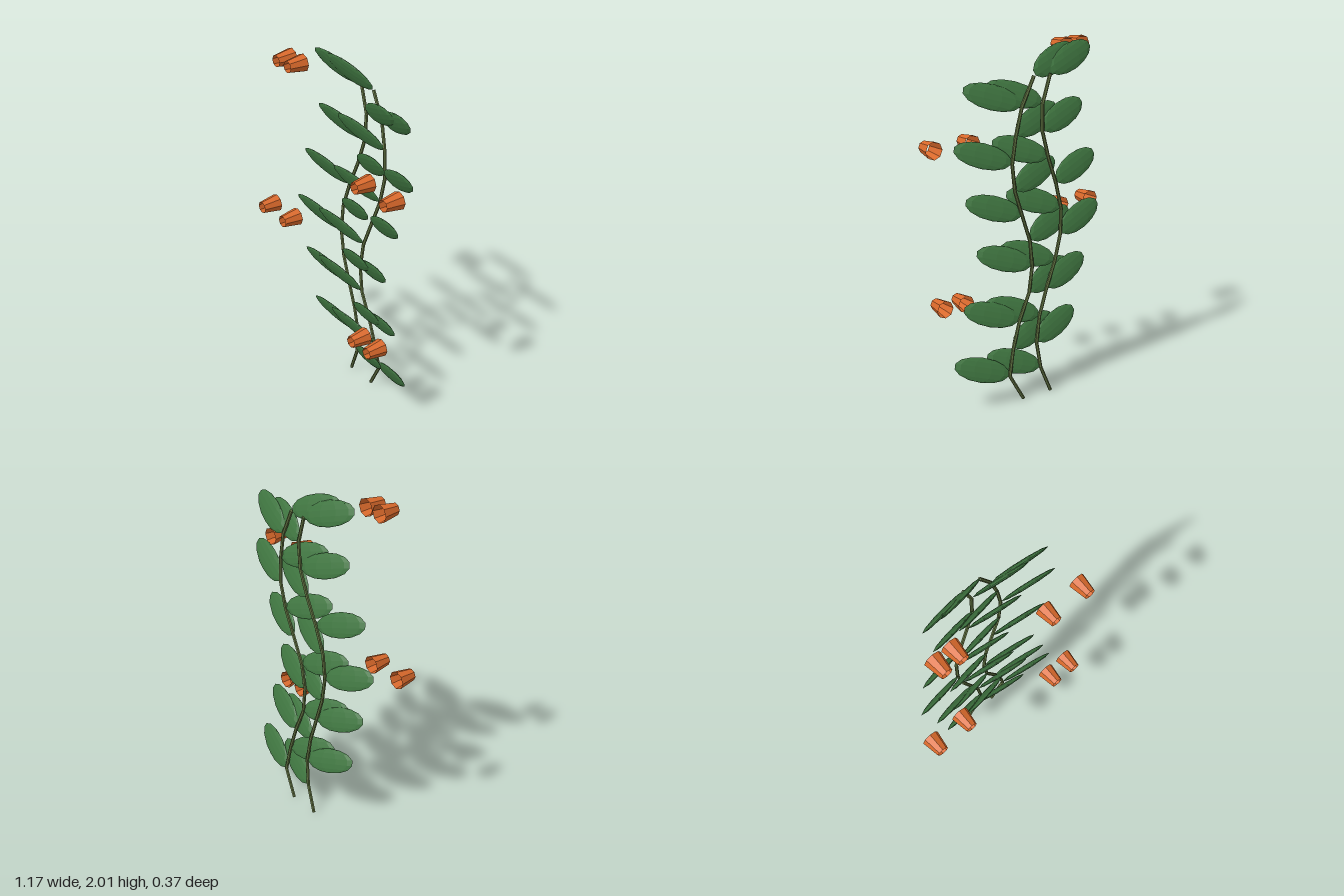
import * as THREE from 'three';

const leafMat = new THREE.MeshStandardMaterial({ color: 0x3f7540, flatShading: true });
const stemMat = new THREE.MeshStandardMaterial({ color: 0x5f7040, flatShading: true });
const bellMat = new THREE.MeshStandardMaterial({ color: 0xd9692b, flatShading: true, side: THREE.DoubleSide });

// Nodes are evenly spaced in height; both stems share the same depth.
const STEP = 0.155;
const nodeZ = [-0.147, -0.138, -0.128, -0.121, -0.118, -0.12, -0.126, -0.136, -0.147, -0.159, -0.168, -0.174, -0.175];
const stems = [
  { name: 'leftVine', x: [-0.097, -0.035, -0.013, -0.037, -0.087, -0.142, -0.174, -0.17, -0.125, -0.065, -0.018, -0.013, -0.06] },
  { name: 'rightVine', x: [0.092, 0.177, 0.147, 0.1, 0.033, 0.013, 0.033, 0.09, 0.147, 0.172, 0.155, 0.12, 0.045] },
];

// Leaf: a flattened ellipsoid, long in x, wide in y, thin in z.
const leafGeo = new THREE.SphereGeometry(1, 10, 7).scale(0.17, 0.07, 0.014);

// Bell: an open cone frustum, narrow end facing +z.
const bellGeo = new THREE.CylinderGeometry(0.034, 0.051, 0.106, 8, 1, true).rotateX(Math.PI / 2);

function segment(a, b) {
  const dir = b.clone().sub(a);
  const mesh = new THREE.Mesh(new THREE.CylinderGeometry(0.01, 0.01, dir.length() + 0.004, 6), stemMat);
  mesh.position.copy(a).add(b).multiplyScalar(0.5);
  mesh.quaternion.setFromUnitVectors(new THREE.Vector3(0, 1, 0), dir.normalize());
  mesh.name = 'stemSegment';
  return mesh;
}

function leaf(node, side) {
  const mesh = new THREE.Mesh(leafGeo, leafMat);
  const along = new THREE.Vector3(0.92 * side, 0.3, 0.22).normalize();
  const across = new THREE.Vector3(-0.38 * side, 0.88, 0.33);
  const normal = along.clone().cross(across).normalize();
  across.crossVectors(normal, along);
  mesh.quaternion.setFromRotationMatrix(new THREE.Matrix4().makeBasis(along, across, normal));
  mesh.position.copy(node).add(new THREE.Vector3(0.16 * side, 0.065, 0.04));
  mesh.name = 'leaf';
  return mesh;
}

function bell(node, side) {
  const mesh = new THREE.Mesh(bellGeo, bellMat);
  mesh.position.copy(node).add(new THREE.Vector3(0.36 * side, 0.088, 0.25));
  mesh.name = 'bellFlower';
  return mesh;
}

export function createModel() {
  const model = new THREE.Group();
  model.name = 'climbingVines';
  for (const { name, x } of stems) {
    const vine = new THREE.Group();
    vine.name = name;
    const nodes = x.map((px, i) => new THREE.Vector3(px, i * STEP, nodeZ[i]));
    for (let i = 1; i < nodes.length; i++) {
      const side = i % 2 ? 1 : -1; // leaves alternate sides
      vine.add(segment(nodes[i - 1], nodes[i]), leaf(nodes[i], side));
      if (i % 3 === 0) vine.add(bell(nodes[i], side));
    }
    model.add(vine);
  }
  return model;
}
